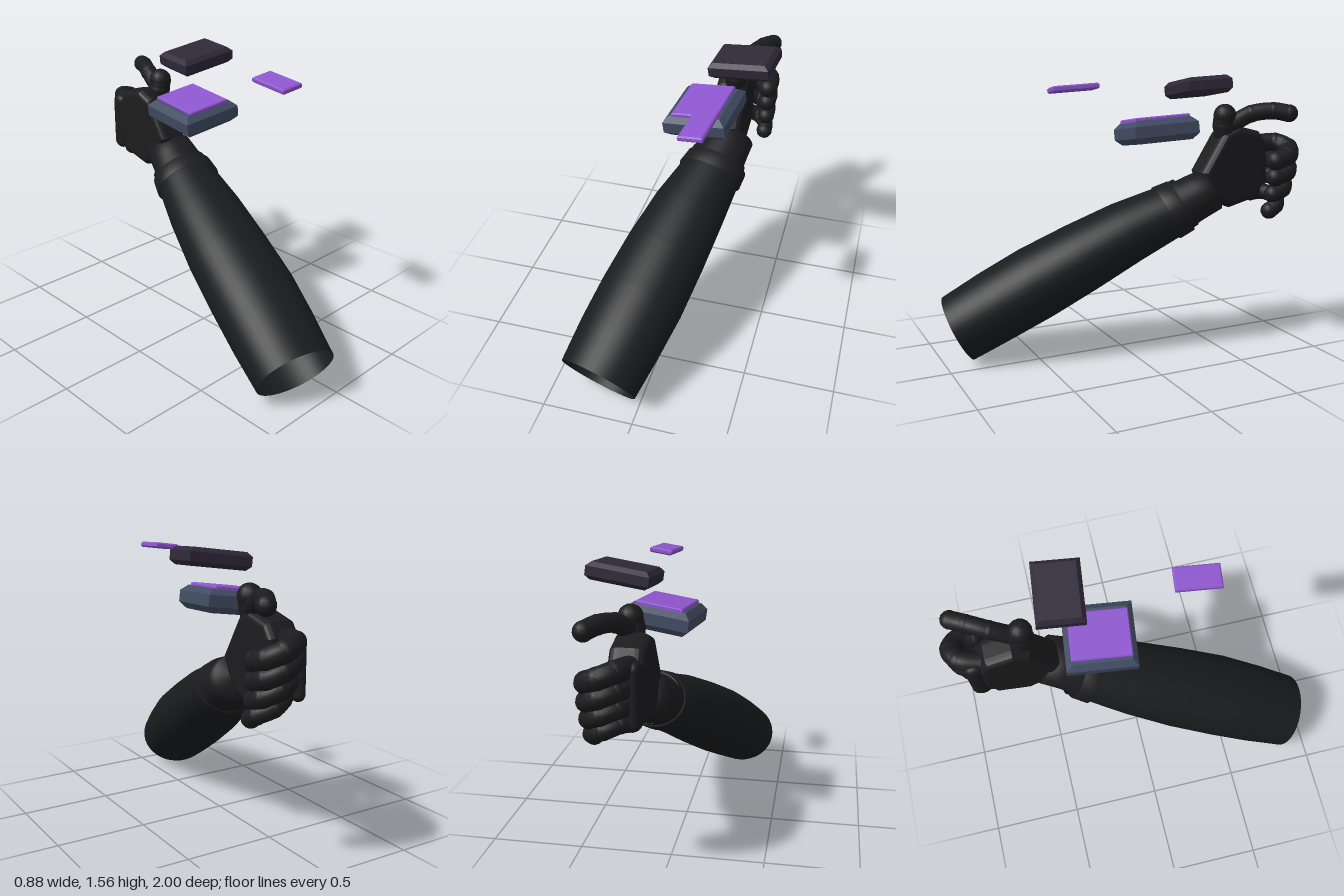
import * as THREE from 'three';

const V = (x, y, z) => new THREE.Vector3(x, y, z);
const AXIS = V(0.387, 0.74, -1.38).normalize();

function material(color) {
  return new THREE.MeshStandardMaterial({ color, side: THREE.DoubleSide });
}

// Open elliptical loft along the forearm; each ring is [x, y, z, halfWidth, halfHeight]
function loft(rings, sides = 40) {
  const u = AXIS.clone().cross(V(0, 1, 0)).normalize();
  const v = u.clone().cross(AXIS);
  const pos = [], idx = [];
  rings.forEach(([x, y, z, rx, ry], i) => {
    for (let j = 0; j < sides; j++) {
      const a = (j / sides) * Math.PI * 2;
      const p = V(x, y, z).addScaledVector(u, Math.cos(a) * rx).addScaledVector(v, Math.sin(a) * ry);
      pos.push(p.x, p.y, p.z);
      if (i === rings.length - 1) continue;
      const k = (j + 1) % sides, p0 = i * sides, p1 = p0 + sides;
      idx.push(p0 + j, p1 + j, p0 + k, p0 + k, p1 + j, p1 + k);
    }
  });
  const g = new THREE.BufferGeometry();
  g.setAttribute('position', new THREE.Float32BufferAttribute(pos, 3));
  g.setIndex(idx);
  g.computeVertexNormals();
  return g;
}

// Box with every edge chamfered
function chamferBox(w, h, d, c) {
  const x = w / 2 - c, z = d / 2 - c;
  const s = new THREE.Shape([[-x, -z], [x, -z], [x, z], [-x, z]].map(p => new THREE.Vector2(...p)));
  const g = new THREE.ExtrudeGeometry(s, {
    depth: h - 2 * c, bevelEnabled: true, bevelThickness: c, bevelSize: c, bevelSegments: 1,
  });
  g.translate(0, 0, c - h / 2);
  return g.rotateX(-Math.PI / 2);
}

export function createModel() {
  const model = new THREE.Group();
  const sleeveMat = material(0x1a1b1d), gloveMat = material(0x1c1c1e);
  const slate = material(0x414c62), plum = material(0x2f2838), violet = material(0x8e56cf);

  function add(name, geometry, mat, parent = model) {
    const m = new THREE.Mesh(geometry, mat);
    m.name = name;
    parent.add(m);
    return m;
  }

  // Rounded limb: tube along a curve, closed by spheres
  function digit(name, points, r, parent) {
    const g = new THREE.Group();
    g.name = name;
    const pts = points.map(p => V(...p));
    add('segment', new THREE.TubeGeometry(new THREE.CatmullRomCurve3(pts), 24, r, 14), gloveMat, g);
    pts.forEach(p => {
      add('joint', new THREE.SphereGeometry(r * 1.04, 14, 10), gloveMat, g).position.copy(p);
    });
    parent.add(g);
  }

  // Sleeve, open at the elbow
  add('sleeve', loft([
    [-0.217, 0.16, 0.895, 0.225, 0.192],
    [-0.16, 0.28, 0.69, 0.24, 0.202],
    [-0.10, 0.40, 0.48, 0.246, 0.206],
    [-0.035, 0.535, 0.23, 0.237, 0.195],
    [0.035, 0.67, -0.02, 0.215, 0.176],
    [0.105, 0.78, -0.25, 0.18, 0.152],
    [0.13, 0.83, -0.34, 0.168, 0.145],
  ]), sleeveMat);

  // Raised strap around the wrist
  add('wristBand', loft([
    [0.10, 0.772, -0.235, 0.178, 0.148],
    [0.10, 0.772, -0.235, 0.196, 0.162],
    [0.125, 0.81, -0.31, 0.186, 0.155],
    [0.125, 0.81, -0.31, 0.165, 0.135],
  ]), gloveMat);

  // Narrow glove cuff
  add('cuff', loft([
    [0.12, 0.80, -0.29, 0.16, 0.138],
    [0.15, 0.86, -0.40, 0.146, 0.13],
    [0.172, 0.90, -0.48, 0.138, 0.125],
    [0.172, 0.90, -0.48, 0.001, 0.001],
  ]), gloveMat);

  // Palm: side outline extruded across the thickness of the hand
  const hand = new THREE.Group();
  hand.name = 'hand';
  model.add(hand);
  const outline = [[0.44, 1.0], [0.56, 1.19], [0.63, 1.22], [0.75, 1.19], [0.785, 1.14],
    [0.79, 0.97], [0.75, 0.87], [0.59, 0.83], [0.50, 0.88]].map(p => new THREE.Vector2(...p));
  const palm = new THREE.ExtrudeGeometry(new THREE.Shape(outline), {
    depth: 0.08, bevelEnabled: true, bevelThickness: 0.05, bevelSize: 0.035, bevelSegments: 4,
  });
  palm.translate(0, 0, -0.04).rotateY(Math.PI / 2);
  add('palm', palm, gloveMat, hand).position.x = 0.15;

  // Four curled fingers, stacked downward
  for (let i = 0; i < 4; i++) {
    const y = 1.135 - i * 0.094, reach = [0, 0.005, 0.03, 0.075][i], r = 0.055 - i * 0.003;
    digit('finger' + (i + 1), [
      [0.13, y, -0.78],
      [0.175, y + 0.01, -0.91 + reach],
      [0.25, y - 0.015, -0.945 + reach],
      [0.315, y - 0.05, -0.90 + reach],
      [0.318, y - 0.075, -0.82 + reach * 0.5],
    ], r, hand);
  }

  // Knuckle guard on the back of the hand
  const guard = add('knuckleGuard', new THREE.CapsuleGeometry(0.04, 0.26, 6, 14), gloveMat, hand);
  guard.position.set(0.095, 1.01, -0.84);
  guard.scale.set(0.75, 1, 1.3);

  // Thumb and its base
  digit('thumbBase', [[0.165, 1.18, -0.58], [0.17, 1.26, -0.56], [0.18, 1.315, -0.56]], 0.062, hand);
  digit('thumb', [
    [0.19, 1.27, -0.61], [0.22, 1.322, -0.71], [0.275, 1.338, -0.82], [0.32, 1.325, -0.895],
  ], 0.048, hand);

  // Floating panels share one tilt
  function panel(name, x, y, z) {
    const g = new THREE.Group();
    g.name = name;
    g.position.set(x, y, z);
    g.rotation.set(0.06, -0.105, 0.14);
    model.add(g);
    return g;
  }
  const main = panel('mainPanel', 0.083, 1.235, -0.175);
  add('mainPanelBody', chamferBox(0.35, 0.125, 0.37, 0.032), slate, main);
  add('mainPanelScreen', chamferBox(0.255, 0.03, 0.315, 0.006), violet, main).position.y = 0.064;

  const upper = panel('upperPanel', 0.26, 1.48, -0.333);
  add('upperPanelBody', chamferBox(0.335, 0.092, 0.25, 0.022), plum, upper);

  const small = panel('smallPanel', 0.18, 1.486, 0.355);
  add('smallPanelBody', chamferBox(0.128, 0.03, 0.242, 0.007), violet, small);

  return model;
}
